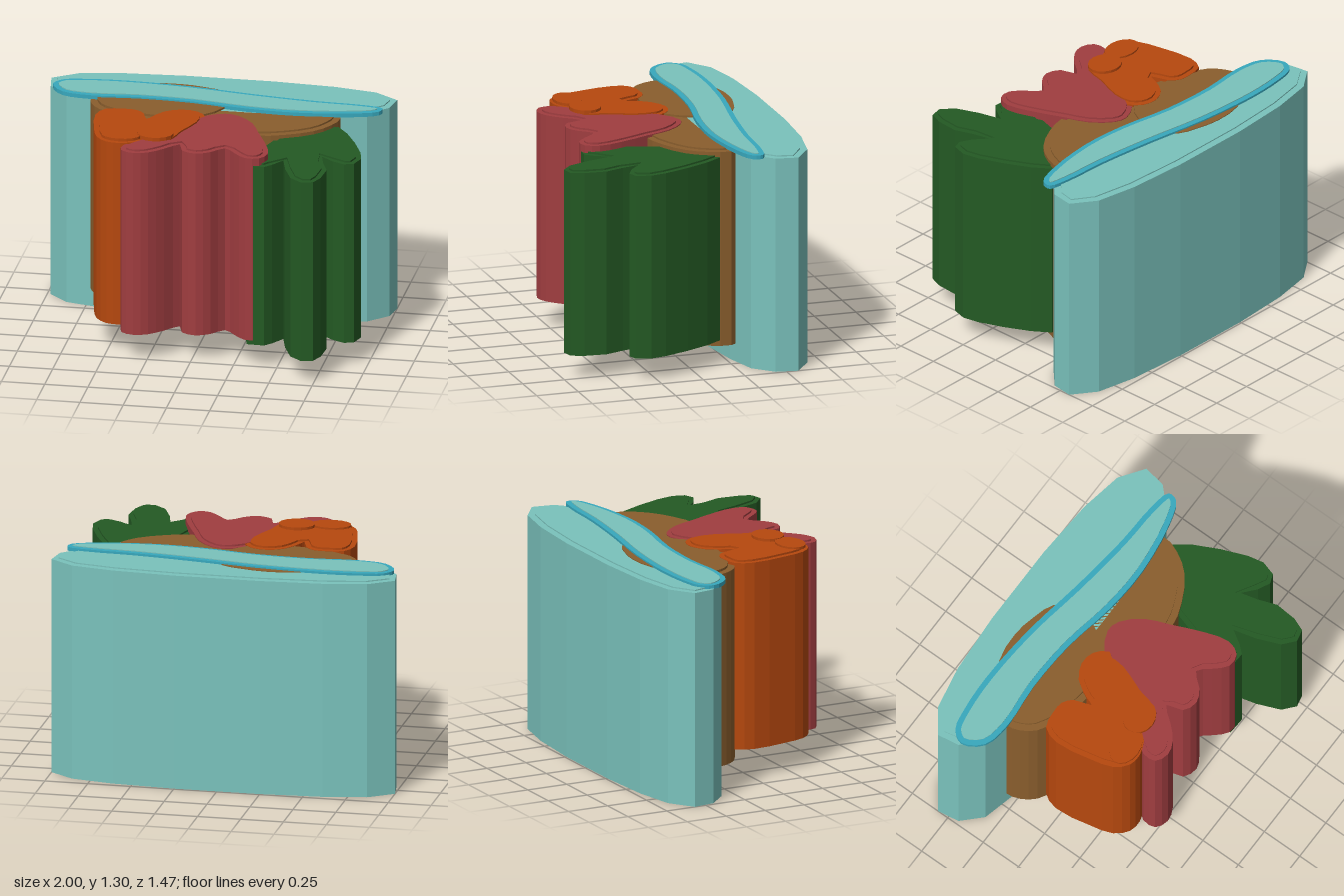
import * as THREE from 'three';

const mat = (name, color) => {
  const m = new THREE.MeshStandardMaterial({ color });
  m.name = name;
  return m;
};

const len = (a, b) => Math.hypot(b[0] - a[0], b[1] - a[1]) || 1e-6;

// Rounds a closed [x, z] outline with a spline
function smooth(pts, perPoint = 2) {
  const curve = new THREE.CatmullRomCurve3(pts.map(([x, z]) => new THREE.Vector3(x, 0, z)), true);
  return curve.getPoints(pts.length * perPoint).slice(0, -1).map((p) => [p.x, p.z]);
}

// Moves a closed outline inwards by d
function inset(pts, d) {
  const n = pts.length;
  let area = 0;
  pts.forEach((p, i) => {
    const q = pts[(i + 1) % n];
    area += p[0] * q[1] - q[0] * p[1];
  });
  const s = Math.sign(area) * d;
  return pts.map((p, i) => {
    const a = pts[(i + n - 1) % n], b = pts[(i + 1) % n], l = len(a, b);
    return [p[0] - (s * (b[1] - a[1])) / l, p[1] + (s * (b[0] - a[0])) / l];
  });
}

// Upright prism over an [x, z] outline
function slab(name, pts, y0, y1, material) {
  const shape = new THREE.Shape(pts.map(([x, z]) => new THREE.Vector2(x, -z)));
  const geo = new THREE.ExtrudeGeometry(shape, { depth: y1 - y0, bevelEnabled: false });
  geo.rotateX(-Math.PI / 2).translate(0, y0, 0);
  const mesh = new THREE.Mesh(geo, material);
  mesh.name = name;
  return mesh;
}

// Prism with a thin, slightly smaller cap on top
function capped(name, pts, y0, y1, y2, d, material) {
  const g = new THREE.Group();
  g.name = name;
  g.add(slab(name + 'Body', pts, y0, y1, material));
  g.add(slab(name + 'Cap', inset(pts, d), y1 - 0.004, y2, material));
  return g;
}

const ellipse = (cx, cz, rx, rz, n = 16) => Array.from({ length: n }, (_, i) => {
  const a = (i / n) * Math.PI * 2;
  return [cx + rx * Math.cos(a), cz + rz * Math.sin(a)];
});

export function createModel() {
  const teal = mat('teal', 0x7ac2bc);
  const blue = mat('blue', 0x38a8bd);
  const brown = mat('brown', 0x8a5e2d);
  const orange = mat('orange', 0xb6480e);
  const red = mat('red', 0xa03d40);
  const green = mat('green', 0x245a24);
  const model = new THREE.Group();
  model.name = 'layeredRelief';

  // Long faceted oval block at the back, mirrored left to right
  const half = [[0.25, -0.74], [0.61, -0.717], [0.86, -0.67], [1, -0.57],
    [0.98, -0.44], [0.87, -0.33], [0.65, -0.275], [0.25, -0.22]];
  const oval = [...half, ...half.map(([x, z]) => [-x, z]).reverse()];
  model.add(capped('backBlock', oval, 0, 1.265, 1.272, 0.042, teal));

  // Wavy ribbon lying on the block, with a teal inlay
  const wave = smooth([[-0.965, -0.43], [-0.92, -0.505], [-0.8, -0.535], [-0.56, -0.55],
    [-0.18, -0.525], [0.19, -0.465], [0.56, -0.42], [0.83, -0.405], [0.95, -0.375],
    [0.94, -0.315], [0.8, -0.26], [0.48, -0.215], [0.19, -0.23], [-0.13, -0.285],
    [-0.45, -0.3], [-0.72, -0.28], [-0.89, -0.315]], 3);
  model.add(slab('ribbonEdge', wave, 1.262, 1.285, blue));
  model.add(slab('ribbonInlay', inset(wave, 0.032), 1.282, 1.29, teal));

  // Two overlapping brown trunks
  const trunkA = smooth([[-0.72, -0.3], [-0.7, -0.21], [-0.64, -0.13], [-0.5, -0.06],
    [-0.32, -0.02], [-0.1, -0.03], [0.05, -0.15], [0.12, -0.35], [0.05, -0.53],
    [-0.1, -0.59], [-0.25, -0.615], [-0.45, -0.59], [-0.64, -0.46]]);
  model.add(capped('rightTrunk', trunkA, 0.125, 1.262, 1.276, 0.04, brown));
  const trunkB = smooth([[-0.3, -0.2], [-0.2, -0.05], [0, 0.05], [0.3, 0.115], [0.47, 0.07],
    [0.62, -0.02], [0.7, -0.13], [0.73, -0.26], [0.6, -0.38], [0.2, -0.45], [-0.2, -0.38]]);
  model.add(capped('leftTrunk', trunkB, 0.105, 1.255, 1.265, 0.04, brown));

  // Green lobed leaf
  const greenLeaf = smooth([[0.73, -0.19], [0.8, -0.09], [0.87, 0.05], [0.93, 0.2],
    [0.95, 0.295], [0.925, 0.38], [0.87, 0.4], [0.8, 0.365], [0.725, 0.3], [0.75, 0.4],
    [0.79, 0.51], [0.78, 0.64], [0.75, 0.715], [0.68, 0.73], [0.61, 0.67], [0.555, 0.535],
    [0.52, 0.4], [0.47, 0.48], [0.43, 0.525], [0.33, 0.52], [0.31, 0.44], [0.36, 0.25],
    [0.42, 0.05], [0.52, -0.1], [0.64, -0.18]], 1);
  model.add(capped('greenLeaf', greenLeaf, 0.14, 1.225, 1.235, 0.03, green));

  // Red three-fingered leaf
  const redLeaf = smooth([[0.08, -0.165], [0.16, -0.145], [0.26, -0.04], [0.32, 0.1],
    [0.4, 0.29], [0.435, 0.43], [0.4, 0.51], [0.32, 0.52], [0.245, 0.45], [0.18, 0.385],
    [0.11, 0.46], [0.03, 0.5], [-0.055, 0.465], [-0.085, 0.37], [-0.16, 0.455],
    [-0.24, 0.53], [-0.32, 0.555], [-0.395, 0.52], [-0.4, 0.44], [-0.31, 0.32],
    [-0.2, 0.15], [-0.1, 0], [-0.04, -0.1]]);
  model.add(capped('redLeaf', redLeaf, 0.165, 1.27, 1.28, 0.03, red));

  // Orange two-winged leaf with two raised petals
  const orangeLeaf = smooth([[-0.5, -0.12], [-0.6, -0.1], [-0.64, 0], [-0.61, 0.21],
    [-0.57, 0.35], [-0.5, 0.42], [-0.42, 0.43], [-0.34, 0.4], [-0.29, 0.37], [-0.2, 0.38],
    [-0.12, 0.35], [-0.08, 0.21], [-0.02, 0.05], [-0.02, -0.08], [-0.08, -0.15],
    [-0.17, -0.165], [-0.26, -0.12], [-0.32, -0.02], [-0.34, 0.03], [-0.375, -0.07],
    [-0.43, -0.115]]);
  model.add(capped('orangeLeaf', orangeLeaf, 0.175, 1.278, 1.289, 0.03, orange));
  model.add(slab('orangePetalRight', ellipse(-0.43, 0.34, 0.115, 0.08), 1.284, 1.3, orange));
  model.add(slab('orangePetalLeft', ellipse(-0.24, 0.295, 0.105, 0.09), 1.284, 1.305, orange));

  return model;
}
